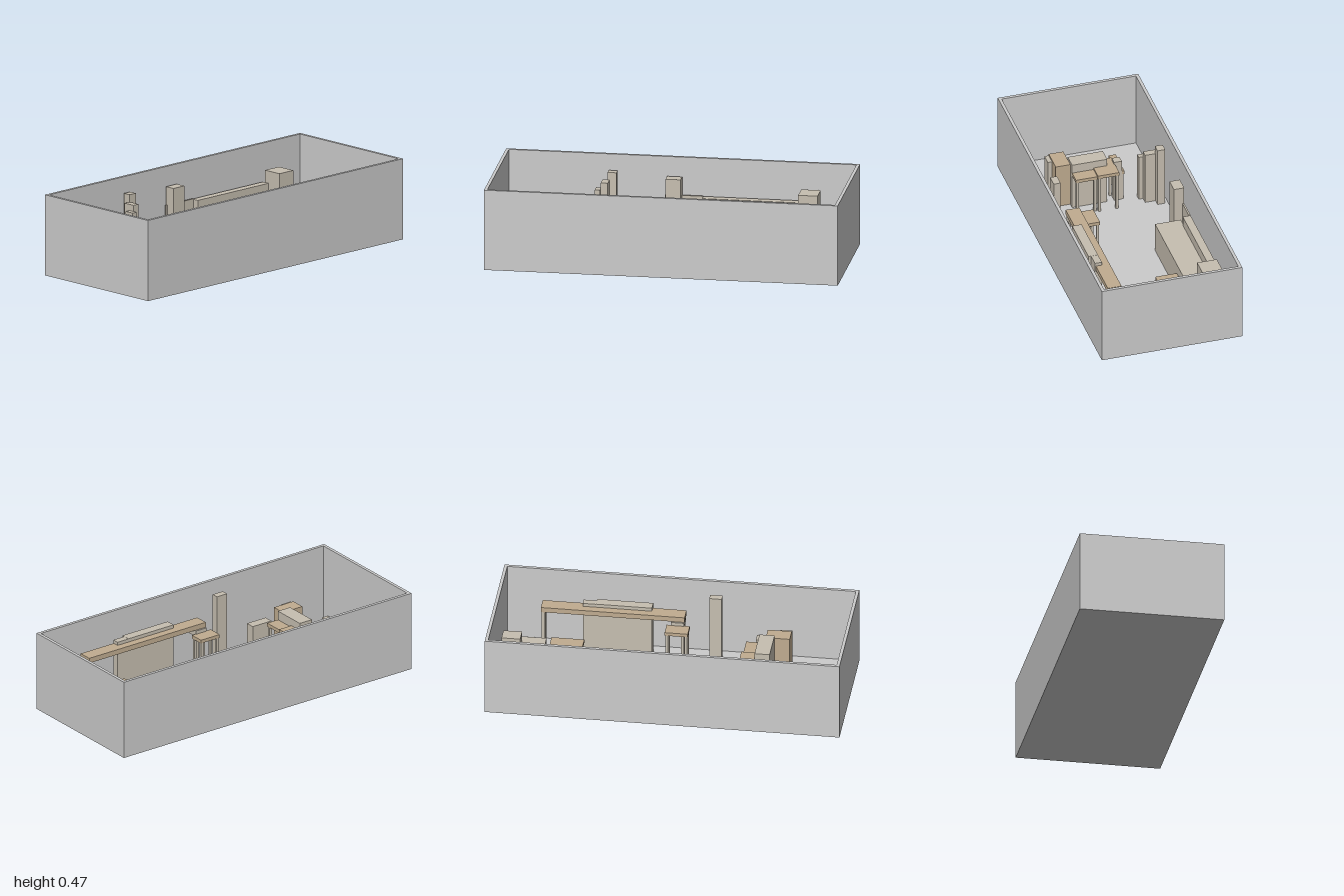
import * as THREE from 'three';

const FLOOR = 0.012;
const grey = new THREE.MeshStandardMaterial({ color: 0xcccccc });
const pale = new THREE.MeshStandardMaterial({ color: 0xc6beb0 });
const wood = new THREE.MeshStandardMaterial({ color: 0xc0ac90 });

// Box given by its extents on each axis
function box(parent, name, material, [x0, x1], [y0, y1], [z0, z1]) {
  const mesh = new THREE.Mesh(new THREE.BoxGeometry(x1 - x0, y1 - y0, z1 - z0), material);
  mesh.position.set((x0 + x1) / 2, (y0 + y1) / 2, (z0 + z1) / 2);
  mesh.name = name;
  parent.add(mesh);
}

// Flat top on four square legs
function table(parent, name, x, height, z, thickness = 0.02, leg = 0.015) {
  const group = new THREE.Group();
  group.name = name;
  box(group, 'top', wood, x, [height - thickness, height], z);
  for (const lx of [x[0] + 0.004, x[1] - leg - 0.004]) {
    for (const lz of [z[0] + 0.004, z[1] - leg - 0.004]) {
      box(group, 'leg', pale, [lx, lx + leg], [FLOOR, height - thickness], [lz, lz + leg]);
    }
  }
  parent.add(group);
}

export function createModel() {
  const model = new THREE.Group();
  model.name = 'furnishedRoom';

  // Open-topped room shell
  const X = 1, Z = 0.41, T = 0.018, H = 0.465;
  const room = new THREE.Group();
  room.name = 'room';
  box(room, 'floor', grey, [-X, X], [0, FLOOR], [-Z, Z]);
  box(room, 'backWall', grey, [-X, X], [FLOOR, H], [-Z, -Z + T]);
  box(room, 'frontWall', grey, [-X, X], [FLOOR, H], [Z - T, Z]);
  box(room, 'rightWall', grey, [-X, -X + T], [FLOOR, H], [-Z + T, Z - T]);
  box(room, 'leftWall', grey, [X - T, X], [FLOOR, H], [-Z + T, Z - T]);
  model.add(room);

  // Solid pieces: name, x extent, height, z extent
  const solids = [
    ['lowColumn', [-0.475, -0.445], 0.295, [-0.3, -0.245]],
    ['middleColumn', [-0.445, -0.405], 0.33, [-0.34, -0.27]],
    ['tallColumn', [-0.415, -0.365], 0.375, [-0.375, -0.33]],
    ['backCabinet', [-0.085, 0], 0.355, [-0.375, -0.315]],
    ['backPanel', [-0.095, 0.12], 0.25, [-0.375, -0.365]],
    ['counterBack', [0.12, 0.675], 0.247, [-0.375, -0.33]],
    ['counter', [0.065, 0.745], 0.19, [-0.335, -0.185]],
    ['counterEndCabinet', [0.675, 0.785], 0.317, [-0.36, -0.245]],
    ['sideBlock', [0.715, 0.915], 0.22, [-0.13, 0.06]],
    ['sideBlockBack', [0.845, 0.95], 0.288, [-0.08, 0]],
    ['frontPillar', [-0.24, -0.17], 0.41, [0.295, 0.335]],
    ['lowChest', [-0.56, -0.43], 0.15, [0.31, 0.365]],
    ['smallBin', [-0.97, -0.93], 0.06, [0.27, 0.335]],
    ['deskDivider', [-0.56, -0.475], 0.298, [-0.07, 0.135]],
    ['deskPost', [-0.52, -0.475], 0.268, [-0.155, -0.11]],
    ['deskEndPanel', [-0.645, -0.58], 0.27, [0.22, 0.245]],
    ['displayPanel', [0.15, 0.465], 0.335, [0.27, 0.325]],
    ['displayPanelEnd', [0.465, 0.54], 0.334, [0.27, 0.31]],
  ];
  for (const [name, x, height, z] of solids) {
    box(model, name, pale, x, [FLOOR, height], z);
  }

  // Long shelf table with a shallow drawer at one end
  table(model, 'longTable', [-0.04, 0.77], 0.315, [0.225, 0.305], 0.03, 0.018);
  box(model, 'tableDrawer', pale, [-0.038, 0.035], [0.25, 0.285], [0.215, 0.3]);

  // Stools and low table
  table(model, 'highStool', [-0.07, 0.06], 0.265, [0.135, 0.22]);
  table(model, 'lowStool', [0.525, 0.71], 0.125, [0.135, 0.225]);
  table(model, 'lowTable', [0.48, 0.695], 0.13, [-0.185, -0.06]);

  // Desk group around the divider
  table(model, 'deskEnd', [-0.545, -0.39], 0.255, [-0.115, 0.01]);
  table(model, 'desk', [-0.5, -0.4], 0.245, [0.01, 0.135]);
  table(model, 'deskShelf', [-0.645, -0.475], 0.2, [-0.17, -0.13]);
  box(model, 'deskSideCabinet', wood, [-0.645, -0.51], [FLOOR, 0.28], [0.135, 0.22]);

  return model;
}
